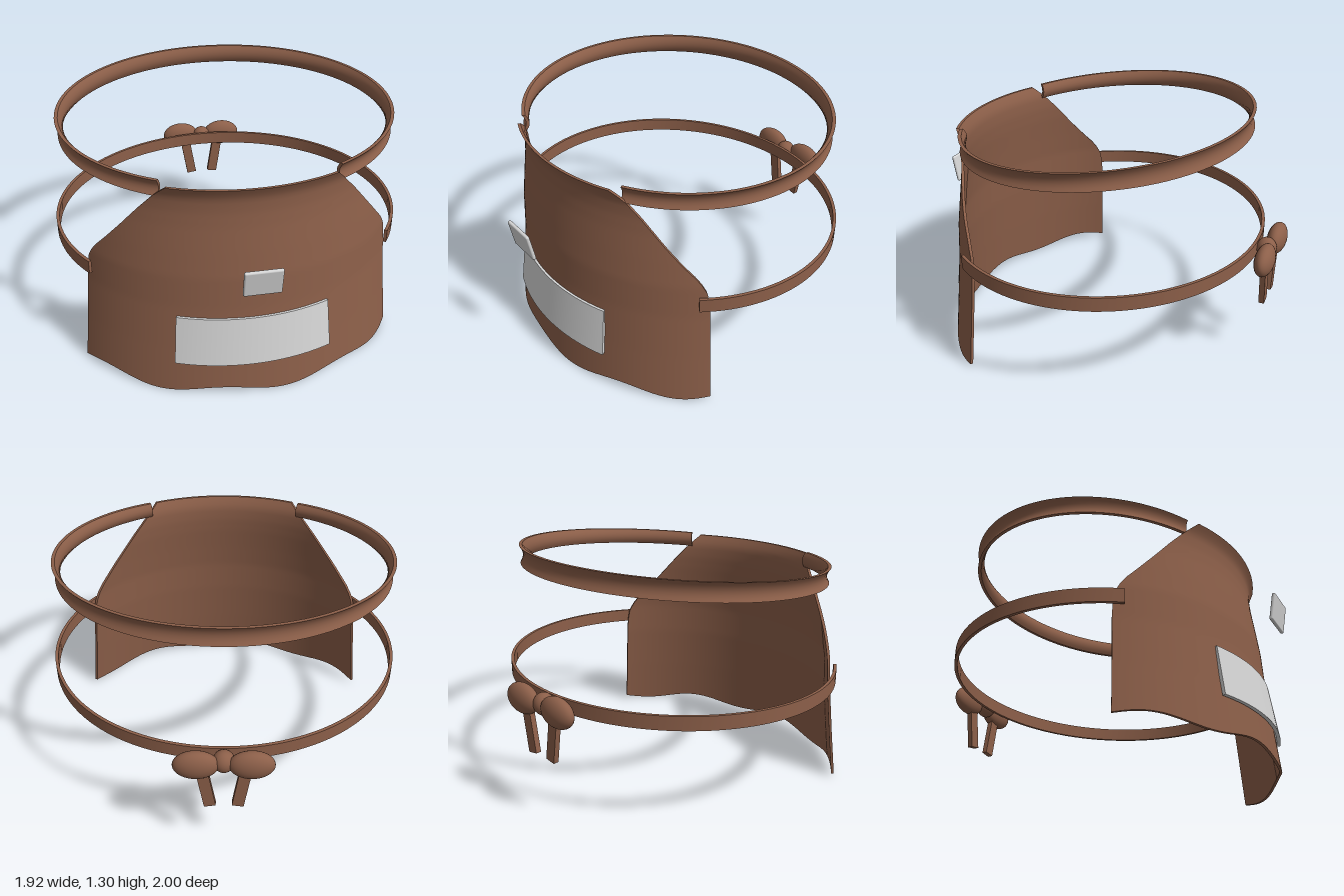
import * as THREE from 'three';
import { mergeGeometries } from 'three/addons/utils/BufferGeometryUtils.js';
import { RoundedBoxGeometry } from 'three/addons/geometries/RoundedBoxGeometry.js';

const RAD = Math.PI / 180;
const lerp = THREE.MathUtils.lerp;

// Linear lookup in a list of [y, value] pairs.
function lookup(table, y) {
  let i = 1;
  while (i < table.length - 1 && y > table[i][0]) i++;
  const [y0, a] = table[i - 1], [y1, b] = table[i];
  return lerp(a, b, (y - y0) / (y1 - y0));
}

// Plane grid bent by a rule p(u, v) -> Vector3.
function patch(nu, nv, p) {
  const g = new THREE.PlaneGeometry(1, 1, nu, nv);
  const { position, uv } = g.attributes;
  for (let i = 0; i < position.count; i++) {
    const q = p(uv.getX(i), uv.getY(i));
    position.setXYZ(i, q.x, q.y, q.z);
  }
  g.computeVertexNormals();
  return g;
}

// Closed curved sheet between an outer and an inner surface.
function shell(nu, nv, outer, inner) {
  const mix = (u, v, s) => outer(u, v).lerp(inner(u, v), s);
  return mergeGeometries([
    patch(nu, nv, outer),
    patch(nu, nv, (u, v) => inner(1 - u, v)),
    patch(1, nv, (s, v) => mix(1, v, s)),
    patch(1, nv, (s, v) => mix(0, v, 1 - s)),
    patch(nu, 1, (u, s) => mix(u, 1, s)),
    patch(nu, 1, (u, s) => mix(u, 0, 1 - s)),
  ]);
}

const ring = (a, b, t, y) => new THREE.Vector3(a * Math.sin(t), y, b * Math.cos(t));

// Apron: front depth and side edge half-width by height.
const OVAL = 1.135;
const DEPTH = [[0, 0.88], [0.27, 0.853], [0.52, 0.83], [0.7, 0.82], [0.84, 0.803], [0.97, 0.786],
  [1.05, 0.779], [1.12, 0.78], [1.155, 0.79], [1.19, 0.808]];
const EDGE = [[0, 0.862], [0.3, 0.832], [0.6, 0.806], [0.665, 0.797], [0.71, 0.78], [0.754, 0.755],
  [0.856, 0.68], [1.026, 0.55], [1.19, 0.415]];

function apronGeometry() {
  const point = (inset) => (u, v) => {
    const s = u * 2 - 1;
    const hem = 0.023 + 0.019 * Math.cos((s * 59.3 + 9.5) * RAD * 360 / 39);
    const y = lerp(hem, 1.19, v);
    const r = lookup(DEPTH, y);
    const t = s * Math.asin(lookup(EDGE, y) / (OVAL * r));
    return ring(OVAL * r - inset, r - inset, t, y);
  };
  return shell(80, 54, point(0), point(0.015));
}

// Pocket hugging the skirt.
function pocketGeometry() {
  const point = (inset) => (u, v) => {
    const r = lerp(0.885, 0.847, v) - inset;
    return ring(OVAL * r, r, (u * 2 - 1) * 24.2 * RAD, lerp(0.2, 0.47, v));
  };
  return shell(24, 2, point(0), point(0.02));
}

// Tilted neck strap with a hollowed cross-section.
function neckStrapGeometry() {
  const point = (inset) => (u, v) => {
    const t = lerp(29.6, 330.4, u) * RAD;
    const dip = 0.018 * (1 - (2 * v - 1) ** 2) + inset;
    const z = 0.775 * Math.cos(t);
    const y = lerp(1.16 - 0.057 * z, 1.253 - 0.0685 * z, v);
    return ring(lerp(0.9, 0.91, v) - dip, 0.775 - dip, t, y);
  };
  return shell(96, 6, point(0), point(0.018));
}

// Level waist strap.
function waistStrapGeometry() {
  const point = (inset) => (u, v) =>
    ring(0.96 - inset, 0.875 - inset, lerp(56.5, 303.5, u) * RAD, lerp(0.585, 0.66, v));
  return shell(96, 1, point(0), point(0.017));
}

export function createModel() {
  const model = new THREE.Group();
  model.name = 'apron';
  const brown = new THREE.MeshStandardMaterial({ color: 0x8c5f49 });
  brown.name = 'brown cloth';
  const grey = new THREE.MeshStandardMaterial({ color: 0xd6d6d6 });
  grey.name = 'light grey';

  const add = (name, geometry, material, parent = model) => {
    const mesh = new THREE.Mesh(geometry, material);
    mesh.name = name;
    parent.add(mesh);
    return mesh;
  };

  add('apronBody', apronGeometry(), brown);
  add('pocket', pocketGeometry(), grey);
  add('neckStrap', neckStrapGeometry(), brown);
  add('waistStrap', waistStrapGeometry(), brown);

  // Badge floating in front of the chest
  const badge = add('badge', new RoundedBoxGeometry(0.19, 0.155, 0.02, 3, 0.009), grey);
  badge.position.set(0, 0.788, 0.979);
  badge.rotation.x = 0.18;

  // Bow at the back
  const bow = new THREE.Group();
  bow.name = 'bow';
  bow.position.set(0, 0.62, -0.945);
  model.add(bow);
  const ball = new THREE.SphereGeometry(1, 32, 20);
  const knot = add('knot', ball, brown, bow);
  knot.scale.set(0.056, 0.06, 0.054);
  knot.position.z = 0.025;
  for (const side of [1, -1]) {
    const name = side > 0 ? 'left' : 'right';
    const lobe = add(name + 'BowLoop', ball, brown, bow);
    lobe.scale.set(0.115, 0.082, 0.052);
    lobe.position.x = side * 0.137;
    const tail = add(name + 'BowTail', new THREE.BoxGeometry(0.06, 0.25, 0.03), brown, bow);
    tail.position.set(side * 0.09, -0.158, 0.005);
    tail.rotation.z = -side * 0.16;
  }
  return model;
}
